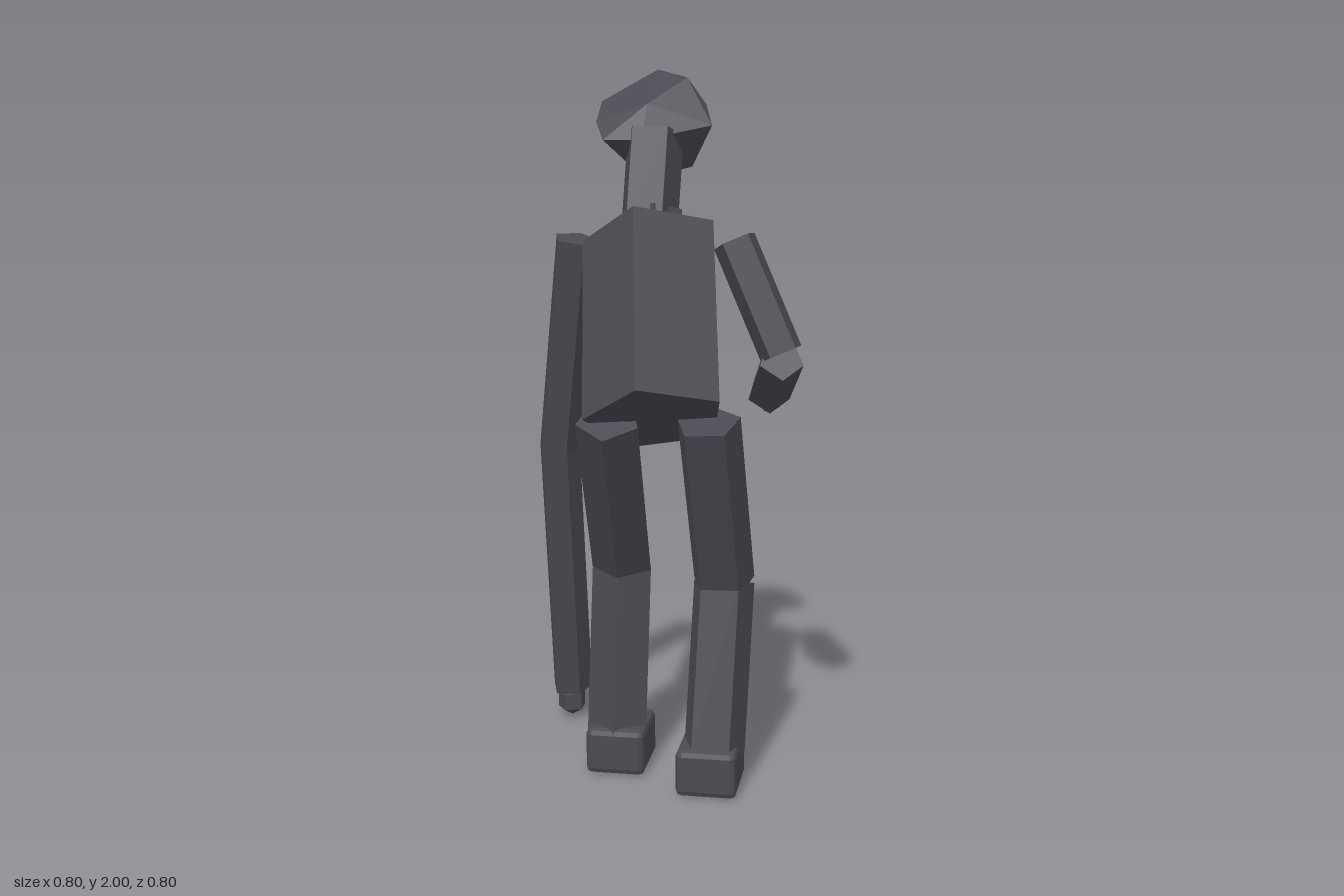
import * as THREE from 'three';
import { RoundedBoxGeometry } from 'three/addons/geometries/RoundedBoxGeometry.js';
import { ConvexGeometry } from 'three/addons/geometries/ConvexGeometry.js';

const slate = new THREE.MeshStandardMaterial({ color: 0x4a4a52, flatShading: true });
slate.name = 'slate';
const V = (p) => new THREE.Vector3(...p);

export function createModel() {
  const model = new THREE.Group();
  model.name = 'stoopedFigure';

  function add(name, geometry, position = [0, 0, 0]) {
    const mesh = new THREE.Mesh(geometry, slate);
    mesh.name = name;
    mesh.position.set(...position);
    model.add(mesh);
    return mesh;
  }

  // Five-sided prism between two points; one ridge points along the hint
  function limb(name, top, bottom, radius, hint) {
    const a = V(top), b = V(bottom);
    const y = a.clone().sub(b);
    const geometry = new THREE.CylinderGeometry(radius, radius, y.length(), 5);
    y.normalize();
    const z = V(hint).projectOnPlane(y).normalize();
    const x = y.clone().cross(z);
    geometry.applyMatrix4(new THREE.Matrix4().makeBasis(x, y, z));
    add(name, geometry, a.add(b).multiplyScalar(0.5).toArray());
  }

  const front = [0, 0, -1], back = [0, 0, 1];

  // Torso and neck
  limb('torso', [-0.024, 1.52, -0.065], [0.036, 1.063, 0.23], 0.199, [-0.026, 0.1, 0.17]);
  limb('collar', [-0.03, 1.6, -0.09], [-0.025, 1.53, -0.065], 0.085, [0.2, 0, 1]);
  limb('neck', [-0.036, 1.82, -0.145], [-0.04, 1.585, -0.075], 0.085, front);

  // Faceted head
  add('head', new ConvexGeometry([
    [-0.045, 2.0, -0.265], [0.05, 1.975, -0.2], [0.105, 1.9, -0.2], [0.13, 1.84, -0.14],
    [0.065, 1.725, -0.2], [-0.01, 1.705, -0.175], [-0.11, 1.725, -0.19], [-0.2, 1.91, -0.215],
    [-0.2, 1.85, -0.13], [-0.17, 1.8, -0.075], [-0.06, 1.8, -0.08], [-0.05, 1.9, -0.115],
    [0.035, 1.79, -0.28], [-0.09, 1.77, -0.26],
  ].map(V)));

  // Small eye discs
  for (const [name, x, y] of [['leftEye', 0.024, 1.897], ['rightEye', -0.128, 1.863]]) {
    const disc = new THREE.CylinderGeometry(0.023, 0.023, 0.015, 6);
    add(name, disc.rotateX(Math.PI / 2).scale(1, 0.75, 1), [x, y, -0.287]);
  }

  // Long hanging arm
  limb('longUpperArm', [-0.248, 1.525, -0.065], [-0.335, 0.9, -0.193], 0.0635, front);
  limb('longForearm', [-0.335, 0.905, -0.193], [-0.335, 0.1, -0.342], 0.0635, front);
  add('longArmHand', new THREE.SphereGeometry(0.05, 5, 3), [-0.335, 0.058, -0.342]);

  // Short bent arm
  limb('shortUpperArm', [0.207, 1.525, -0.053], [0.345, 1.215, -0.025], 0.064, [-0.033, 0, 0.067]);
  limb('shortForearm', [0.345, 1.2, -0.022], [0.285, 1.065, -0.268], 0.064, [0, -1, 0]);
  add('shortArmHand', new THREE.SphereGeometry(0.046, 5, 3).rotateX(1.1), [0.285, 1.053, -0.272]);

  // Legs and chamfered feet
  const legs = [
    ['left', [0.175, 1.06, 0.235], [0.197, 0.578, 0.065], [0.185, 0.11, 0.163], [0.175, 0.145], front],
    ['right', [-0.095, 1.06, 0.235], [-0.108, 0.588, -0.04], [-0.11, 0.11, 0.035], [-0.105, 0.02], back],
  ];
  for (const [side, hip, knee, ankle, foot, ridge] of legs) {
    limb(side + 'Thigh', hip, knee, 0.09, ridge);
    limb(side + 'Shin', knee, ankle, 0.09, ridge);
    add(side + 'Foot', new RoundedBoxGeometry(0.17, 0.135, 0.21, 1, 0.018), [foot[0], 0.0725, foot[1]]);
  }
  return model;
}
